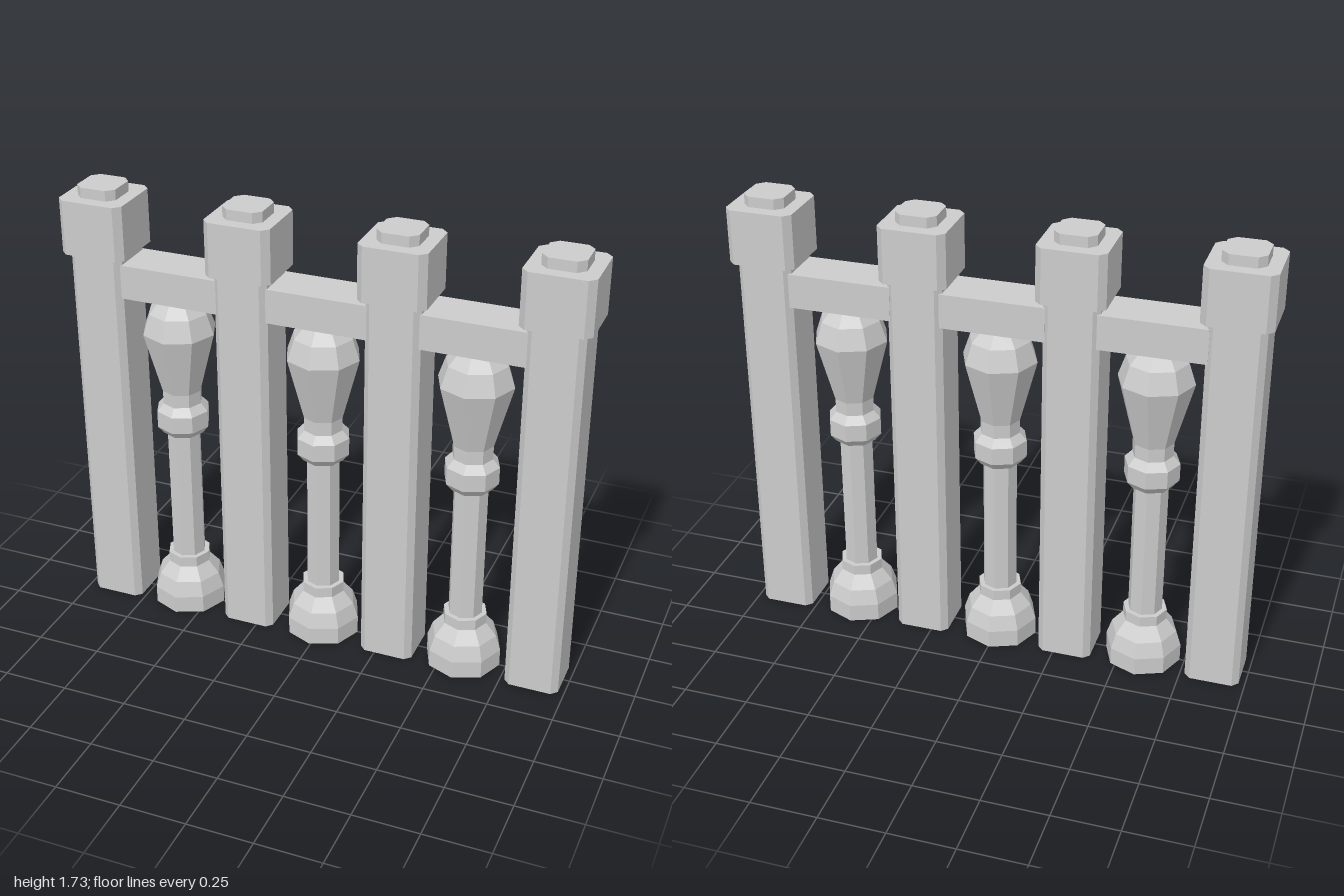
import * as THREE from 'three';

const stone = new THREE.MeshStandardMaterial({ color: 0xcccccc });
stone.name = 'pale grey stone';

function addMesh(parent, name, geometry) {
  const mesh = new THREE.Mesh(geometry, stone);
  mesh.name = name;
  parent.add(mesh);
  return mesh;
}

// Upright square block with chamfered vertical corners
function chamferedBlock(width, y0, y1, chamfer) {
  const h = width / 2, c = h - chamfer;
  const outline = [[h, -c], [h, c], [c, h], [-c, h], [-h, c], [-h, -c], [-c, -h], [c, -h]];
  const shape = new THREE.Shape(outline.map(([x, y]) => new THREE.Vector2(x, y)));
  const g = new THREE.ExtrudeGeometry(shape, { depth: y1 - y0, bevelEnabled: false });
  return g.rotateX(-Math.PI / 2).translate(0, y0, 0);
}

// Eight-sided faceted turning from [radius, height] pairs
function turned(profile) {
  const g = new THREE.LatheGeometry(profile.map(([r, y]) => new THREE.Vector2(r, y)), 8).toNonIndexed();
  g.computeVertexNormals();
  return g;
}

function createPost() {
  const post = new THREE.Group();
  post.name = 'post';
  addMesh(post, 'postShaft', chamferedBlock(0.208, 0, 1.48, 0.023));
  addMesh(post, 'postCap', chamferedBlock(0.256, 1.48, 1.69, 0.026));
  addMesh(post, 'postFinial', chamferedBlock(0.156, 1.69, 1.73, 0.028));
  return post;
}

function createBaluster() {
  const baluster = new THREE.Group();
  baluster.name = 'baluster';
  addMesh(baluster, 'balusterFoot', turned([
    [0, 0], [0.146, 0], [0.146, 0.07], [0.126, 0.13], [0.085, 0.18], [0.085, 0.222], [0, 0.222],
  ]));
  addMesh(baluster, 'balusterShaft', turned([[0.066, 0.222], [0.066, 0.77]]));
  addMesh(baluster, 'balusterRing', turned([
    [0, 0.765], [0.08, 0.765], [0.104, 0.795], [0.104, 0.862], [0.077, 0.892], [0.077, 0.945], [0, 0.945],
  ]));
  addMesh(baluster, 'balusterVase', turned([
    [0.077, 0.945], [0.142, 1.19], [0.115, 1.27], [0.07, 1.32], [0, 1.32],
  ]));
  return baluster;
}

export function createModel() {
  const model = new THREE.Group();
  model.name = 'balustrade';

  // Four evenly spaced posts
  const spacing = 0.5813;
  for (let i = 0; i < 4; i++) {
    const post = createPost();
    post.position.x = (i - 1.5) * spacing;
    model.add(post);
  }

  // A baluster and a rail in each bay, the rail ends just inside the posts
  for (let i = -1; i <= 1; i++) {
    const baluster = createBaluster();
    baluster.position.x = i * spacing - 0.004;
    model.add(baluster);
    const rail = addMesh(model, 'topRail', new THREE.BoxGeometry(0.394, 0.132, 0.18));
    rail.position.set(i * spacing, 1.386, -0.003);
  }
  return model;
}
